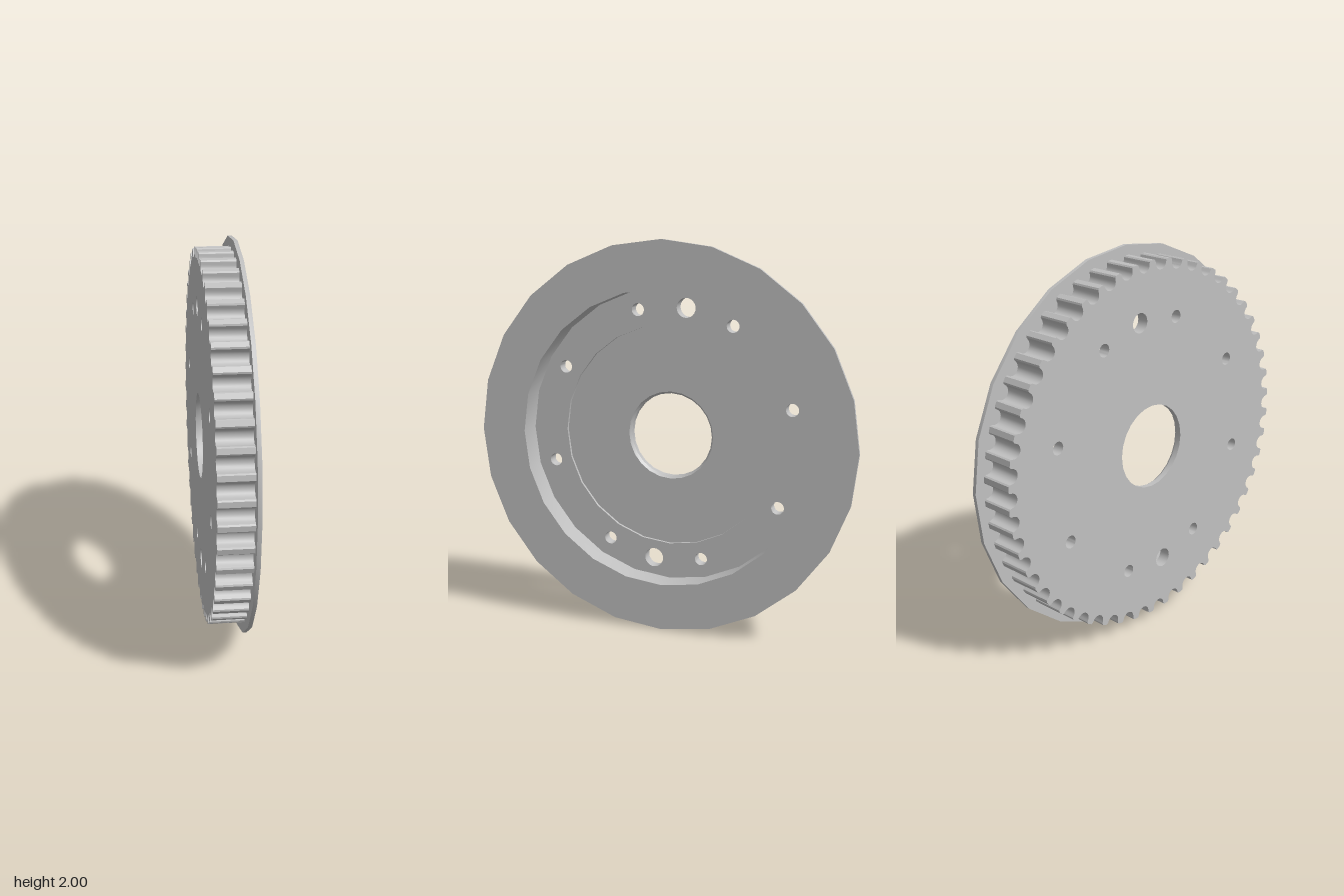
import * as THREE from 'three';
import { toCreasedNormals } from 'three/addons/utils/BufferGeometryUtils.js';

// Axial stations along x, from the toothed back to the flange front
const X = { back: -0.1, bore: -0.07, disc: -0.055, floor: -0.04, flange: 0.07, front: 0.09 };
const TEETH = 50, TIP = 0.948;

// Loops are drawn counter-clockwise in (u, v), with u = -z and v = y
function circle(r, sides = 24, cu = 0, cv = 0) {
  return Array.from({ length: sides }, (_, i) => {
    const a = (i / sides) * Math.PI * 2;
    return new THREE.Vector2(cu + r * Math.cos(a), cv + r * Math.sin(a));
  });
}

// Round-bottomed belt grooves with softened tooth corners
function toothedLoop() {
  const r = 0.037, centre = TIP - 0.014;
  const groove = [[TIP, -0.046], [TIP - 0.006, -0.039]];
  for (let i = 0; i <= 10; i++) {
    const a = Math.PI * (1.5 - i / 10);
    groove.push([centre + r * Math.cos(a), r * Math.sin(a)]);
  }
  groove.push([TIP - 0.006, 0.039], [TIP, 0.046]);
  const points = [];
  for (let t = 0; t < TEETH; t++) {
    const a = (t / TEETH) * Math.PI * 2;
    for (const [u, v] of groove) points.push(new THREE.Vector2(u, v).rotateAround(new THREE.Vector2(), a));
  }
  return points;
}

// Flat face across the axis, facing +x or -x
function face(outline, holes, x, forward) {
  const shape = new THREE.Shape(outline);
  shape.holes = holes.map((h) => new THREE.Path(h));
  const geo = new THREE.ShapeGeometry(shape);
  if (!forward) {
    const index = geo.index.array;
    for (let i = 0; i < index.length; i += 3) [index[i], index[i + 1]] = [index[i + 1], index[i]];
    geo.computeVertexNormals();
  }
  return geo.translate(0, 0, x).rotateY(Math.PI / 2);
}

// Wall between two matching loops, facing outward or inward
function wall(loop0, x0, loop1, x1, outward) {
  const pos = [];
  loop0.forEach((p, i) => {
    const j = (i + 1) % loop0.length;
    const a = [p.x, p.y, x0], b = [loop0[j].x, loop0[j].y, x0];
    const c = [loop1[j].x, loop1[j].y, x1], d = [loop1[i].x, loop1[i].y, x1];
    pos.push(...(outward ? [a, b, c, a, c, d] : [a, c, b, a, d, c]).flat());
  });
  const geo = new THREE.BufferGeometry();
  geo.setAttribute('position', new THREE.Float32BufferAttribute(pos, 3));
  return toCreasedNormals(geo.rotateY(Math.PI / 2), 0.6);
}

export function createModel() {
  const metal = new THREE.MeshStandardMaterial({ color: 0xc0c0c0 });
  metal.name = 'grey metal';
  const model = new THREE.Group();
  model.name = 'toothedPulley';
  const part = (name, ...geos) => {
    const group = new THREE.Group();
    group.name = name;
    geos.forEach((g) => {
      const mesh = new THREE.Mesh(g, metal);
      mesh.name = name + 'Surface';
      group.add(mesh);
    });
    model.add(group);
  };

  const teeth = toothedLoop();
  const rim = circle(1), recess = circle(0.76), disc = circle(0.573);
  const boreWide = circle(0.228), bore = circle(0.217);

  // Eight bolt holes and two larger locating holes
  const holes = [];
  const addHole = (deg, r) => {
    const a = THREE.MathUtils.degToRad(deg);
    holes.push(circle(r, 24, 0.663 * Math.cos(a), 0.663 * Math.sin(a)));
  };
  for (let k = 0; k < 8; k++) addHole(15 + 45 * k, 0.033);
  [82.5, 262.5].forEach((deg) => addHole(deg, 0.05));

  part('toothedRim', wall(teeth, X.back, teeth, X.flange, true));
  part('backFace', face(teeth, [bore, ...holes], X.back, false));
  part('flange',
    face(rim, [recess], X.front, true),
    face(rim, [circle(0.88)], X.flange, false),
    wall(rim, X.flange, rim, X.front, true));
  part('recess',
    wall(recess, X.floor, recess, X.front, false),
    face(recess, [disc, ...holes], X.floor, true));
  part('sunkenDisc',
    wall(disc, X.disc, disc, X.floor, false),
    face(disc, [boreWide], X.disc, true));
  part('bore',
    wall(bore, X.back, bore, X.bore, false),
    wall(bore, X.bore, boreWide, X.disc, false));
  part('boltHoles', ...holes.map((h) => wall(h, X.back, h, X.floor, false)));

  model.position.y = 1;
  const root = new THREE.Group();
  root.name = 'pulley';
  root.add(model);
  return root;
}
